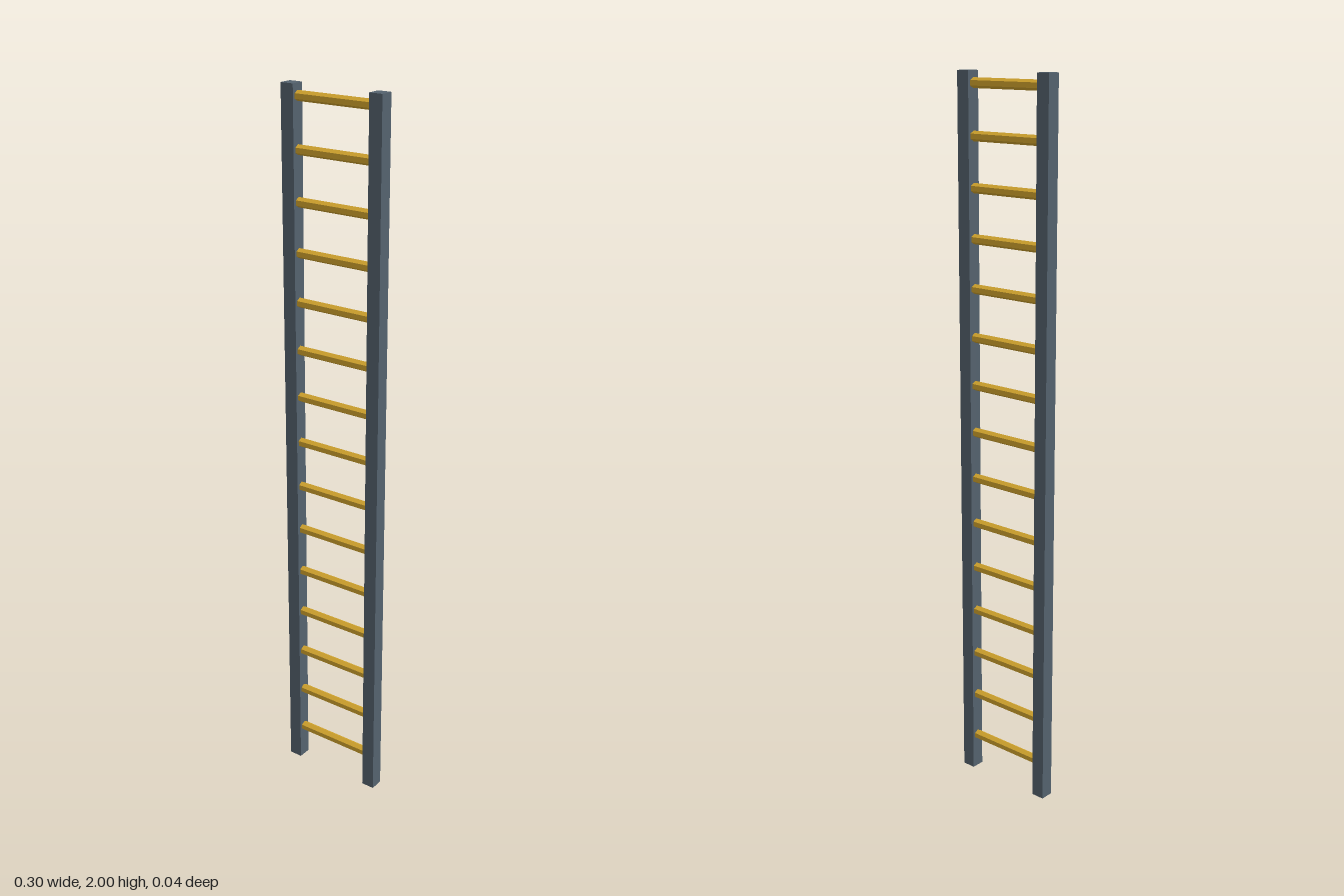
import * as THREE from 'three';

const HEIGHT = 2;
const RAIL = 0.038; // square rail section
const RAIL_X = 0.133; // rail centre line
const RUNGS = 15;
const FIRST_RUNG = 0.103;
const LAST_RUNG = 1.969;

export function createModel() {
  const ladder = new THREE.Group();
  ladder.name = 'ladder';

  const railMaterial = new THREE.MeshStandardMaterial({ color: 0x55636f });
  const rungMaterial = new THREE.MeshStandardMaterial({ color: 0xd4a62e, flatShading: true });

  // Two square uprights
  const railGeometry = new THREE.BoxGeometry(RAIL, HEIGHT, RAIL);
  for (const [name, side] of [['leftRail', 1], ['rightRail', -1]]) {
    const rail = new THREE.Mesh(railGeometry, railMaterial);
    rail.name = name;
    rail.position.set(side * RAIL_X, HEIGHT / 2, 0);
    ladder.add(rail);
  }

  // Hexagonal rungs with an edge on top, ending inside the rails
  const rungGeometry = new THREE.CylinderGeometry(0.0135, 0.0135, RAIL_X * 2, 6, 1, false, Math.PI / 2);
  rungGeometry.rotateZ(Math.PI / 2);
  for (let i = 0; i < RUNGS; i++) {
    const rung = new THREE.Mesh(rungGeometry, rungMaterial);
    rung.name = `rung${i + 1}`;
    rung.position.y = THREE.MathUtils.lerp(FIRST_RUNG, LAST_RUNG, i / (RUNGS - 1));
    ladder.add(rung);
  }

  return ladder;
}
